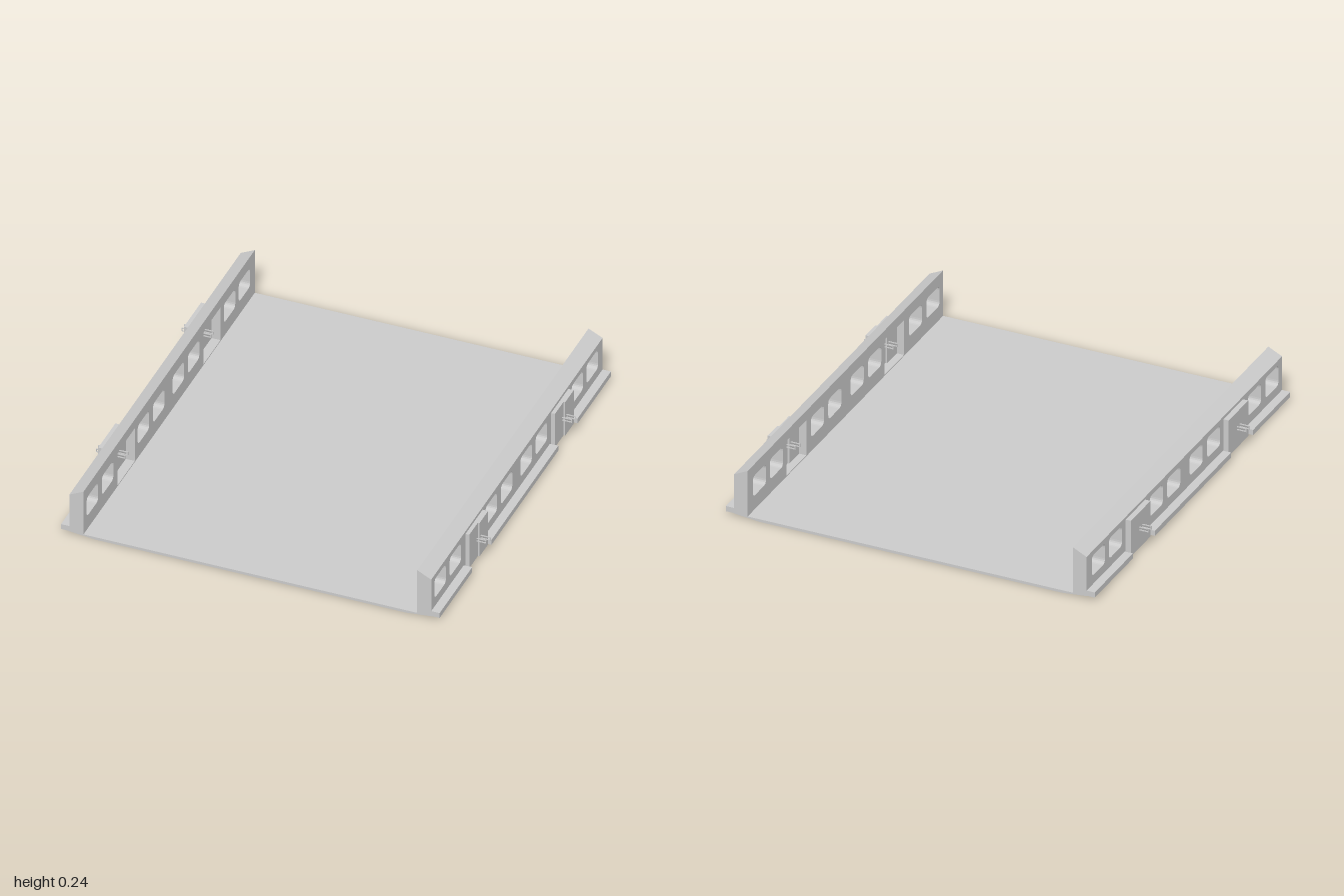
import * as THREE from 'three';

const material = new THREE.MeshStandardMaterial({ color: 0xcccccc, flatShading: true });

// wall section, measured from the middle of the floor
const INNER = 0.795, OUTER = 0.862, LEDGE = 0.902, BASE = 0.012, EAVE = 0.21, TOP = 0.243;
const WINDOWS = [0.896, 0.718, 0.3, 0.121, -0.108, -0.286, -0.705, -0.879];
const DOORS = [0.5, -0.5];
const LEDGES = [[-1, -0.61], [-0.385, 0.395], [0.62, 1]];

function add(parent, name, geometry, x = 0, y = 0, z = 0) {
  const mesh = new THREE.Mesh(geometry, material);
  mesh.name = name;
  mesh.position.set(x, y, z);
  parent.add(mesh);
  return mesh;
}

function boxBetween(parent, name, x0, x1, y0, y1, z0, z1) {
  return add(parent, name, new THREE.BoxGeometry(Math.abs(x1 - x0), y1 - y0, z1 - z0),
    (x0 + x1) / 2, (y0 + y1) / 2, (z0 + z1) / 2);
}

function outline(points, Type = THREE.Shape) {
  return new Type(points.map(([a, b]) => new THREE.Vector2(a, b)));
}

// cross-section in x and y, run along the full length
function longProfile(points) {
  const g = new THREE.ExtrudeGeometry(outline(points), { depth: 2, bevelEnabled: false });
  return g.translate(0, 0, -1);
}

function roundedHole(cx, y0, y1, width, r) {
  const a = cx - width / 2, b = cx + width / 2;
  const p = new THREE.Path();
  p.moveTo(a + r, y0);
  p.lineTo(b - r, y0);
  p.quadraticCurveTo(b, y0, b, y0 + r);
  p.lineTo(b, y1 - r);
  p.quadraticCurveTo(b, y1, b - r, y1);
  p.lineTo(a + r, y1);
  p.quadraticCurveTo(a, y1, a, y1 - r);
  p.lineTo(a, y0 + r);
  p.quadraticCurveTo(a, y0, a + r, y0);
  return p;
}

// side panel with window and door openings, drawn in z and y
function wallGeometry(s) {
  const shape = outline([[-1, BASE], [1, BASE], [1, EAVE], [-1, EAVE]]);
  for (const z of WINDOWS) shape.holes.push(roundedHole(z, 0.083, 0.185, 0.135, 0.024));
  for (const z of DOORS) {
    shape.holes.push(outline([[z - 0.1, 0.018], [z + 0.1, 0.018], [z + 0.1, 0.195], [z - 0.1, 0.195]], THREE.Path));
  }
  const g = new THREE.ExtrudeGeometry(shape, { depth: OUTER - INNER, bevelEnabled: false, curveSegments: 5 });
  g.rotateY(-Math.PI / 2);
  return g.translate(s > 0 ? OUTER : -INNER, 0, 0);
}

// U-shaped pull standing out of a door face
function addPull(parent, x0, x1, z) {
  const dir = Math.sign(x1 - x0);
  for (const y of [0.107, 0.121]) boxBetween(parent, 'pullProng', x0, x1, y - 0.002, y + 0.002, z - 0.002, z + 0.002);
  boxBetween(parent, 'pullGrip', x1 - dir * 0.004, x1, 0.105, 0.123, z - 0.002, z + 0.002);
}

// two door leaves; on the left side the front leaf sits slightly inward
function addDoor(parent, s, z) {
  const door = new THREE.Group();
  door.name = 'doubleDoor';
  for (const half of [-1, 1]) {
    const shift = s > 0 && half > 0 ? -0.008 : 0;
    const out = 0.888 + shift, inn = 0.838 + shift;
    const za = half < 0 ? z - 0.1 : z, zb = za + 0.1;
    boxBetween(door, 'doorLeaf', s * inn, s * out, 0.016, 0.196, za, zb);
    const pz = z + half * 0.014;
    addPull(door, s * out, s * (out + 0.046), pz);
    addPull(door, s * inn, s * (inn - 0.046), pz);
  }
  parent.add(door);
}

export function createModel() {
  const model = new THREE.Group();
  model.name = 'openCarriageSection';
  const body = new THREE.Group();
  body.name = 'body';
  body.position.x = -0.006;
  model.add(body);

  // thin floor with gently rising edges
  add(body, 'floor', longProfile([
    [-OUTER, 0.012], [-0.74, 0], [0.74, 0], [OUTER, 0.012],
    [OUTER, 0.018], [INNER, 0.013], [-INNER, 0.013], [-OUTER, 0.018],
  ]));

  for (const s of [-1, 1]) {
    const side = new THREE.Group();
    side.name = s > 0 ? 'leftSide' : 'rightSide';
    body.add(side);
    add(side, 'wallPanel', wallGeometry(s));
    // sloping cap
    add(side, 'wallCap', longProfile([[s * INNER, EAVE], [s * OUTER, EAVE], [s * INNER, TOP]]));
    // outer steps, interrupted at the doors
    for (const [z0, z1] of LEDGES) boxBetween(side, 'stepLedge', s * OUTER, s * LEDGE, 0.014, 0.04, z0, z1);
    for (const z of DOORS) addDoor(side, s, z);
  }
  return model;
}
